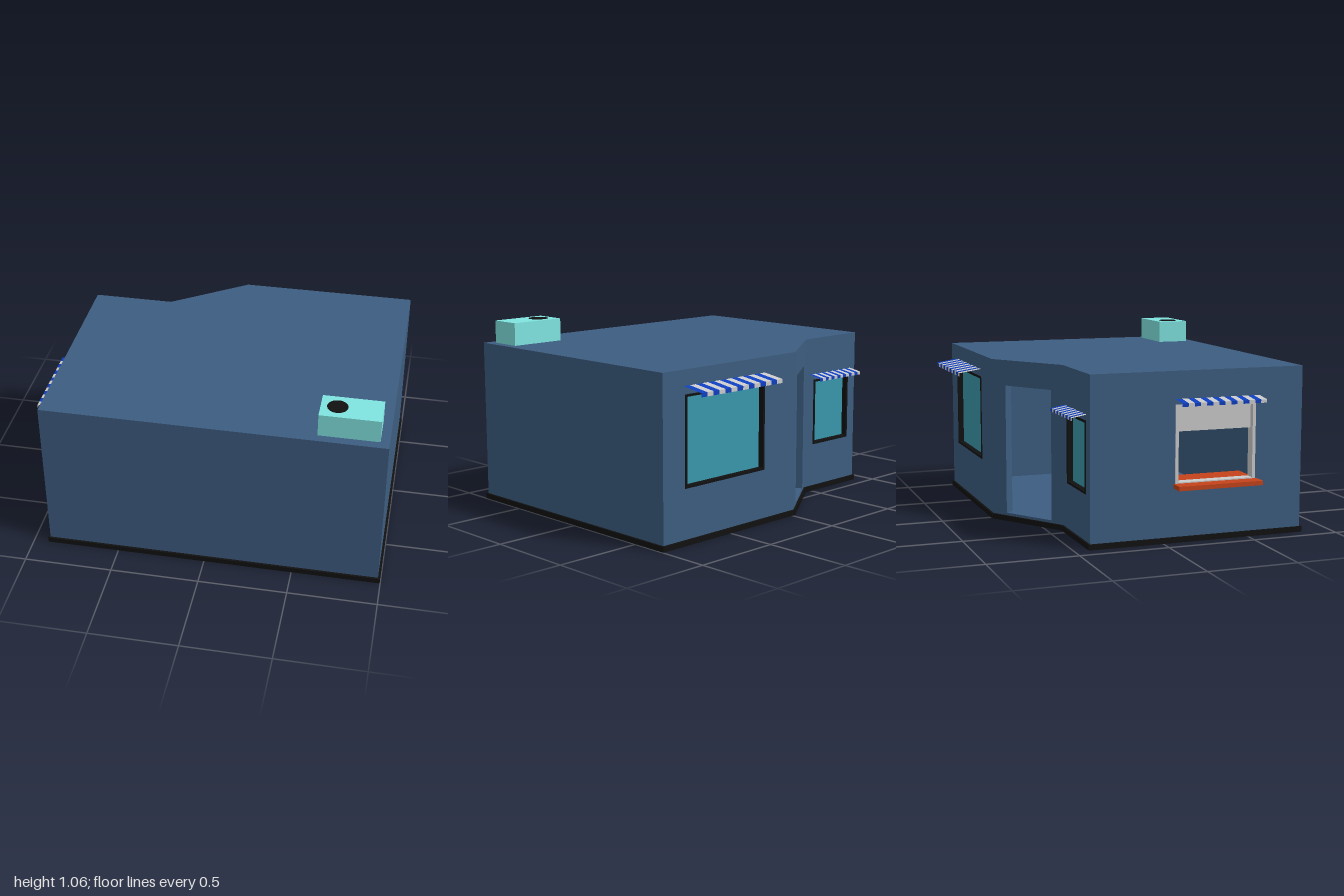
import * as THREE from 'three';

const mat = (color, side = THREE.FrontSide) => new THREE.MeshStandardMaterial({ color, side });
const BODY = mat(0x3d5d80), BLACK = mat(0x111111), GLASS = mat(0x3a98ac), ORANGE = mat(0xc4431a);
const GREY = mat(0xcccccc), TEAL = mat(0x80e4e0);
const STRIPES = [mat(0x0f3fc0, THREE.DoubleSide), mat(0xcccccc, THREE.DoubleSide)];

const T = 0.05;       // wall thickness
const FLOOR = 0.04, CEILING = 0.88, TOP = 0.93;

// Outline corners [x, z]; each wall runs to the next corner
const OUTLINE = [[0.985, -0.70], [-0.02, -0.70], [-0.445, -0.41], [-0.905, -0.41], [-0.905, 0.82], [0.985, 0.82]];

function add(parent, name, geometry, material, x = 0, y = 0, z = 0) {
  const mesh = new THREE.Mesh(geometry, material);
  mesh.name = name;
  mesh.position.set(x, y, z);
  parent.add(mesh);
  return mesh;
}

function box(parent, name, material, x0, x1, y0, y1, z0, z1) {
  return add(parent, name, new THREE.BoxGeometry(x1 - x0, y1 - y0, z1 - z0), material,
    (x0 + x1) / 2, (y0 + y1) / 2, (z0 + z1) / 2);
}

const rect = (x0, x1, y0, y1) => [[x0, y0], [x1, y0], [x1, y1], [x0, y1]].map(p => new THREE.Vector2(...p));

// Flat panel with rectangular holes, given as [x0, x1, y0, y1]
function panel(outer, holes, depth) {
  const shape = new THREE.Shape(rect(...outer));
  for (const h of holes) shape.holes.push(new THREE.Path(rect(...h)));
  return new THREE.ExtrudeGeometry(shape, { depth, bevelEnabled: false });
}

// Horizontal slab with the building's outline
function slab(parent, name, y0, y1) {
  const shape = new THREE.Shape(OUTLINE.map(([x, z]) => new THREE.Vector2(x, -z)));
  const g = new THREE.ExtrudeGeometry(shape, { depth: y1 - y0, bevelEnabled: false });
  add(parent, name, g.rotateX(-Math.PI / 2), BODY, 0, y0, 0);
}

// Lining around an opening
function frame(wall, name, [x0, x1, y0, y1], material, w) {
  const g = panel([x0, x1, y0, y1], [[x0 + w, x1 - w, y0 + w, y1 - w]], T + 0.006);
  add(wall, name, g, material, 0, 0, -T - 0.002);
}

// Recessed glazed window
function glazedWindow(wall, hole) {
  const [x0, x1, y0, y1] = hole;
  frame(wall, 'windowFrame', hole, BLACK, 0.013);
  box(wall, 'windowGlass', GLASS, x0 + 0.005, x1 - 0.005, y0 + 0.005, y1 - 0.005, -0.04, -0.028);
}

// Striped awning: a sloping sheet with a short hanging edge
function awning(wall, x0, x1, yWall, reach, drop, hem) {
  const group = new THREE.Group();
  group.name = 'awning';
  const n = 14, w = (x1 - x0) / n;
  const rows = [[yWall, 0.002], [yWall - drop, reach], [yWall - drop - hem, reach]];
  for (let i = 0; i < n; i++) {
    const g = new THREE.PlaneGeometry(w, 1, 1, 2);
    const p = g.attributes.position;
    for (let k = 0; k < p.count; k++) {
      const [y, z] = rows[Math.floor(k / 2)];
      p.setXYZ(k, p.getX(k), y, z);
    }
    const flat = g.toNonIndexed();
    flat.computeVertexNormals();
    add(group, 'awningStripe', flat, STRIPES[i % 2], x0 + (i + 0.5) * w);
  }
  wall.add(group);
}

export function createModel() {
  const model = new THREE.Group();
  model.name = 'cornerShop';
  slab(model, 'floor', 0, FLOOR);
  slab(model, 'roof', CEILING, TOP);

  // Openings for each wall, measured along it from its first corner
  const bigWindow = [0.155, 0.755, 0.305, 0.80];
  const doorway = [0.10, 0.43, FLOOR + 0.005, 0.785];
  const smallWindow = [0.075, 0.395, 0.285, 0.68];
  const hatch = [0.48, 0.95, 0.31, 0.75];
  const openings = [[bigWindow], [doorway], [smallWindow], [hatch], [], []];

  // Walls: local x along the wall, y up, z outward
  const walls = OUTLINE.map(([x, z], i) => {
    const [nx, nz] = OUTLINE[(i + 1) % OUTLINE.length];
    const length = Math.hypot(nx - x, nz - z);
    const wall = new THREE.Group();
    wall.name = 'wallSide';
    wall.position.set(x, 0, z);
    wall.rotation.y = Math.atan2(-(nz - z), nx - x);
    add(wall, 'wall', panel([0, length, FLOOR, CEILING], openings[i], T), BODY, 0, 0, -T);
    box(wall, 'skirting', BLACK, -0.008, length + 0.008, 0, 0.03, -0.005, 0.012);
    model.add(wall);
    return wall;
  });

  // Glazed windows and awnings
  glazedWindow(walls[0], bigWindow);
  awning(walls[0], 0.145, 0.755, 0.845, 0.13, 0.02, 0.022);
  glazedWindow(walls[2], smallWindow);
  awning(walls[2], 0.035, 0.415, 0.715, 0.083, 0.015, 0.017);
  awning(walls[3], 0.48, 0.97, 0.78, 0.095, 0.012, 0.018);

  // Serving hatch with raised shutter and counter
  frame(walls[3], 'hatchFrame', hatch, GREY, 0.018);
  box(walls[3], 'hatchShutter', GREY, 0.49, 0.94, 0.60, 0.74, -0.04, -0.025);
  box(walls[3], 'hatchCounterOutside', ORANGE, 0.47, 0.96, 0.298, 0.322, 0, 0.085);
  box(walls[3], 'hatchCounterInside', ORANGE, 0.47, 0.96, 0.298, 0.322, -0.22, -T);

  // Rooftop cooling unit
  box(model, 'rooftopUnit', TEAL, 0.605, 0.935, TOP, 1.06, 0.585, 0.77);
  add(model, 'rooftopVent', new THREE.CylinderGeometry(0.056, 0.056, 0.004, 32), BLACK, 0.695, 1.06, 0.677);

  return model;
}
